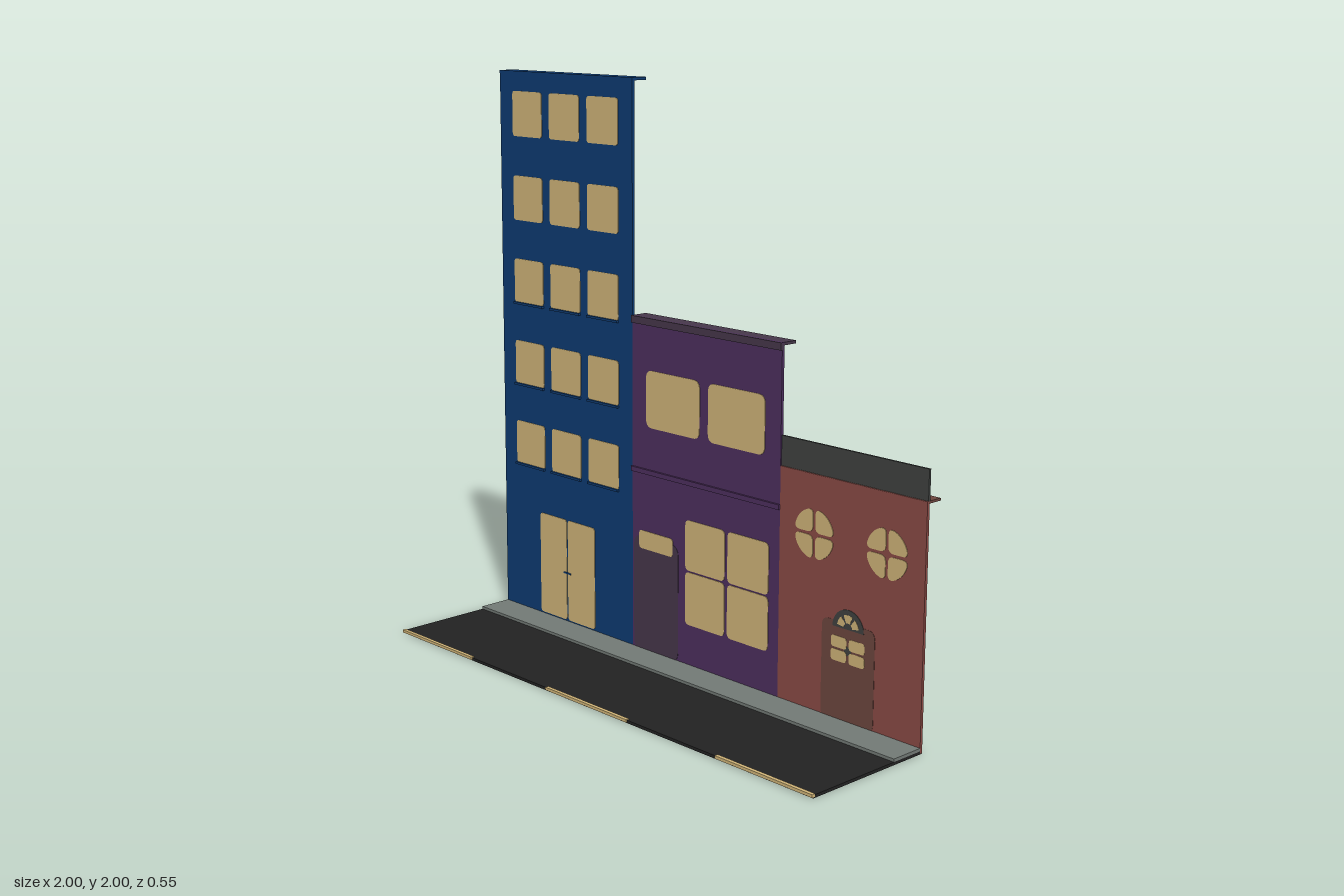
import * as THREE from 'three';

const mat = (name, color) => {
  const m = new THREE.MeshStandardMaterial({ color });
  m.name = name;
  return m;
};

export function createModel() {
  const blue = mat('blue wall', 0x0e3b72);
  const purple = mat('purple wall', 0x4d2f5e);
  const red = mat('red wall', 0x8a4a45);
  const plum = mat('dark plum', 0x46374a);
  const brown = mat('brown', 0x6d463e);
  const grey = mat('dark grey', 0x3f4140);
  const stone = mat('pavement grey', 0x727975);
  const asphalt = mat('asphalt', 0x222222);
  const yellow = mat('warm yellow', 0xd0b478);

  const model = new THREE.Group();
  model.name = 'streetFacade';
  const WALL_Z = -0.218;

  const group = (name) => {
    const g = new THREE.Group();
    g.name = name;
    model.add(g);
    return g;
  };

  // Box from its two opposite corners
  function box(parent, name, m, x0, x1, y0, y1, z0, z1) {
    const mesh = new THREE.Mesh(new THREE.BoxGeometry(x1 - x0, y1 - y0, z1 - z0), m);
    mesh.position.set((x0 + x1) / 2, (y0 + y1) / 2, (z0 + z1) / 2);
    mesh.name = name;
    parent.add(mesh);
  }

  // Thin plate centred in the wall, showing on both sides
  function plate(parent, name, m, shape, depth, x = 0, y = 0) {
    const geo = new THREE.ExtrudeGeometry(shape, { depth, bevelEnabled: false, curveSegments: 8 });
    const mesh = new THREE.Mesh(geo, m);
    mesh.position.set(x, y, WALL_Z - depth / 2);
    mesh.name = name;
    parent.add(mesh);
    return mesh;
  }

  function roundRect(x0, x1, y0, y1, r) {
    const s = new THREE.Shape();
    s.moveTo(x0 + r, y0);
    s.lineTo(x1 - r, y0);
    s.quadraticCurveTo(x1, y0, x1, y0 + r);
    s.lineTo(x1, y1 - r);
    s.quadraticCurveTo(x1, y1, x1 - r, y1);
    s.lineTo(x0 + r, y1);
    s.quadraticCurveTo(x0, y1, x0, y1 - r);
    s.lineTo(x0, y0 + r);
    s.quadraticCurveTo(x0, y0, x0 + r, y0);
    return s;
  }

  const pane = (parent, x0, x1, y0, y1, r = 0.014) =>
    plate(parent, 'windowPane', yellow, roundRect(x0, x1, y0, y1, r), 0.014);

  // Quarter of a round window with softened corners
  function quarter(R, g, c) {
    const s = new THREE.Shape();
    const a = 0.3;
    s.moveTo(g + c, g);
    s.lineTo(R - c, g);
    s.quadraticCurveTo(R, g, R * Math.cos(a), R * Math.sin(a));
    s.absarc(0, 0, R, a, Math.PI / 2 - a, false);
    s.quadraticCurveTo(g, R, g, R - c);
    s.lineTo(g, g + c);
    s.quadraticCurveTo(g, g, g + c, g);
    return s;
  }

  const wall = (parent, m, x0, x1, y1) =>
    box(parent, 'wall', m, x0, x1, 0, y1, WALL_Z - 0.005, WALL_Z + 0.005);

  // Road, pavement and edge markings
  const street = group('street');
  box(street, 'road', asphalt, -1, 1, 0, 0.01, -0.223, 0.27);
  box(street, 'pavement', stone, -1, 1, 0.01, 0.02, WALL_Z, -0.09);
  for (const x of [-1, -0.2, 0.6]) box(street, 'roadMarking', yellow, x, x + 0.4, 0.003, 0.013, 0.262, 0.275);

  // Tall blue building
  const tower = group('blueBuilding');
  wall(tower, blue, -1, -0.3, 2);
  box(tower, 'roofLedge', blue, -1, -0.3, 1.99, 2, -0.275, -0.212);
  for (let row = 0; row < 5; row++) {
    const y = 0.57 + row * 0.3;
    for (let col = 0; col < 3; col++) {
      const x = -0.93 + col * 0.2;
      pane(tower, x, x + 0.16, y, y + 0.16);
      if (row < 3) box(tower, 'windowSill', blue, x, x + 0.16, y - 0.006, y + 0.002, WALL_Z, -0.203);
    }
  }
  pane(tower, -0.8, -0.653, 0.025, 0.403);
  pane(tower, -0.647, -0.5, 0.025, 0.403);
  box(tower, 'doorHandles', blue, -0.67, -0.63, 0.2, 0.206, WALL_Z - 0.009, WALL_Z + 0.009);

  // Purple shop
  const shop = group('purpleShop');
  wall(shop, purple, -0.3, 0.4, 1.2);
  box(shop, 'roofLedge', plum, -0.3, 0.4, 1.19, 1.2, -0.275, -0.207);
  box(shop, 'roofTrim', plum, -0.3, 0.4, 1.175, 1.19, WALL_Z, -0.207);
  box(shop, 'floorBand', purple, -0.3, 0.4, 0.655, 0.672, WALL_Z, -0.205);
  pane(shop, -0.23, 0.03, 0.82, 1.02, 0.03);
  pane(shop, 0.07, 0.33, 0.82, 1.02, 0.03);
  for (const x of [-0.035, 0.166])
    for (const y of [0.163, 0.356]) pane(shop, x, x + 0.188, y, y + (y < 0.3 ? 0.187 : 0.177), 0.02);
  plate(shop, 'shopDoor', plum, roundRect(-0.292, -0.07, 0.01, 0.43, 0.04), 0.012);
  pane(shop, -0.265, -0.097, 0.385, 0.45);

  // Small red house
  const house = group('redHouse');
  wall(house, red, 0.4, 1, 0.8);
  box(house, 'parapet', grey, 0.4, 1, 0.8, 0.9, -0.225, -0.217);
  box(house, 'roofLedge', brown, 0.4, 1, 0.793, 0.801, -0.275, -0.215);
  for (const x of [0.55, 0.85])
    for (let i = 0; i < 4; i++) {
      const p = plate(house, 'roundWindowPane', yellow, quarter(0.083, 0.005, 0.022), 0.014, x, 0.605);
      p.rotation.z = (i * Math.PI) / 2;
    }

  // Arched door with fanlight
  plate(house, 'frontDoor', brown, roundRect(0.59, 0.81, 0.01, 0.345, 0.03), 0.012);
  const fan = new THREE.Shape();
  fan.absarc(0, 0, 0.065, 0, Math.PI, false);
  plate(house, 'fanlight', grey, fan, 0.0135, 0.7, 0.325);
  for (const [a, b] of [[0.15, 0.9], [1.15, 1.99], [2.24, 2.99]]) {
    const s = new THREE.Shape();
    s.absarc(0, 0, 0.045, a, b, false);
    s.absarc(0, 0, 0.018, b, a, true);
    plate(house, 'fanlightPane', yellow, s, 0.015, 0.7, 0.328);
  }
  for (const x of [0.63, 0.705])
    for (const y of [0.212, 0.257]) pane(house, x, x + 0.065, y, y + 0.038, 0.012);
  box(house, 'paneJoint', grey, 0.685, 0.715, 0.24, 0.268, WALL_Z - 0.0065, WALL_Z + 0.0065);

  return model;
}
